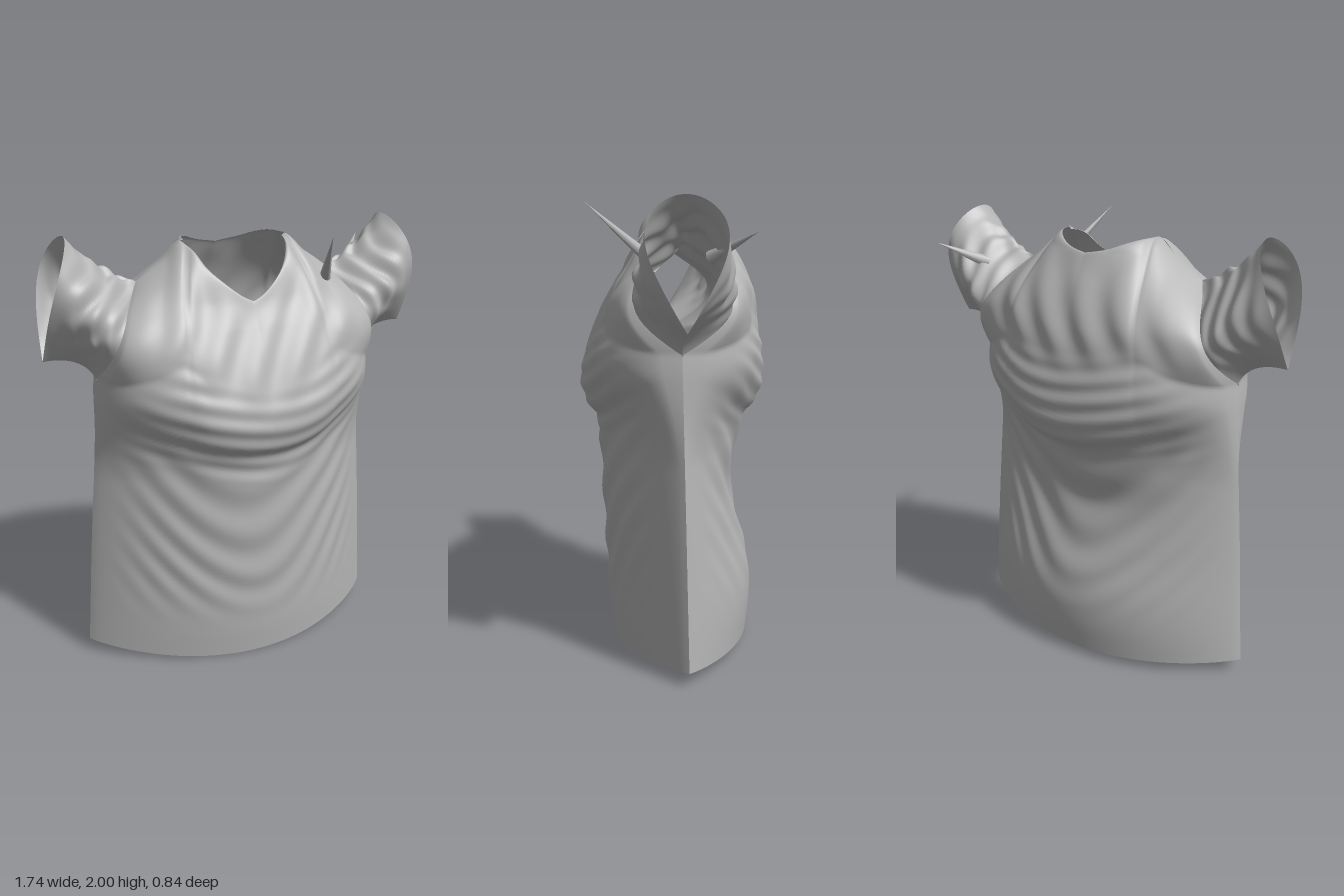
import * as THREE from 'three';

const ARMPIT = 0.76; // share of the panel height where the armhole begins
const clamp = (t) => Math.min(1, Math.max(0, t));
const smooth = (a, b, t) => { const k = clamp((t - a) / (b - a)); return k * k * (3 - 2 * k); };

// Smooth curve through a few [position, value] points
function curve(points) {
  const slope = (i) => {
    const a = points[Math.max(0, i - 1)], b = points[Math.min(points.length - 1, i + 1)];
    return (b[1] - a[1]) / (b[0] - a[0]);
  };
  return (t) => {
    if (t <= points[0][0]) return points[0][1];
    if (t >= points[points.length - 1][0]) return points[points.length - 1][1];
    const i = points.findIndex((p) => p[0] > t) - 1;
    const [x0, y0] = points[i], [x1, y1] = points[i + 1];
    const h = x1 - x0, s = (t - x0) / h, s2 = s * s, s3 = s2 * s;
    return (2 * s3 - 3 * s2 + 1) * y0 + (s3 - 2 * s2 + s) * h * slope(i)
      + (3 * s2 - 2 * s3) * y1 + (s3 - s2) * h * slope(i + 1);
  };
}

// Half width of the body along its side edge
const halfWidth = curve([[0, 0.74], [0.3, 0.705], [0.55, 0.67], [0.76, 0.645], [0.86, 0.6], [0.94, 0.53], [1, 0.45]]);

// Depth down the middle, upper edge and hem of each panel
const shoulder = [[0.25, 1.945], [0.32, 1.88], [0.4, 1.825], [0.45, 1.79]];
const front = {
  sign: 1, armDepth: 0.24, neckDepth: 0.22, hemDrop: 0.06,
  depth: curve([[0, 0.275], [0.15, 0.29], [0.5, 0.31], [0.9, 0.33], [1.03, 0.345], [1.1, 0.39],
    [1.2, 0.42], [1.3, 0.41], [1.45, 0.365], [1.6, 0.3], [1.72, 0.235], [1.95, 0.18]]),
  top: curve([[0, 1.71], [0.05, 1.735], [0.12, 1.79], [0.18, 1.85], [0.22, 1.92], ...shoulder]),
};
const back = {
  sign: -1, armDepth: 0.27, neckDepth: 0.21, hemDrop: 0.025,
  depth: curve([[0, 0.355], [0.2, 0.375], [0.35, 0.365], [0.55, 0.315], [0.75, 0.275], [0.9, 0.3], [1.03, 0.335],
    [1.1, 0.385], [1.17, 0.415], [1.3, 0.42], [1.45, 0.4], [1.6, 0.385], [1.75, 0.34], [1.9, 0.26]]),
  top: curve([[0, 1.89], [0.1, 1.91], [0.18, 1.94], [0.22, 1.95], ...shoulder]),
};

// Point on a body panel: u runs right to left, v from hem to shoulder
function panelPoint(p, u, v) {
  const a = Math.abs(u), x = u * halfWidth(v);
  const hem = 0.06 - p.hemDrop * (1 - a * a);
  const y = hem + (p.top(a * 0.45) - hem) * v;
  const middle = -0.045 + 0.035 * v;

  // Flat-sided leaf section at the hem, fuller at the chest roll that curves up to the armpits
  const e = clamp((v - ARMPIT) / (1 - ARMPIT));
  const edge = middle + p.sign * p.armDepth * Math.pow(Math.sin(Math.PI * Math.pow(e, 1.2)), 0.8);
  const full = smooth(0.48, 0.72, v);
  const shape = Math.pow(Math.max(0, 1 - Math.pow(a, 2 + 0.4 * full)), 0.88 - 0.38 * full);
  const sag = 0.5 * x * x * smooth(0.1, 0.6, v) * (1 - smooth(0.8, 0.95, v));
  let z = edge + (p.sign * p.depth(y - sag) - edge) * shape;

  // Hanging U folds below the chest, fine creases across it, upright folds to the neck
  const inner = smooth(0.05, 0.45, 1 - a);
  const hang = y - 1.3 * x * x - 0.2 * Math.sqrt(x * x + 0.02);
  const hanging = 0.006 * Math.sin(hang * 31 + 1.5 * Math.sin(x * 5 + y * 4)) * smooth(0.08, 0.25, v) * (1 - smooth(0.5, 0.62, v));
  const crease = 0.005 * Math.sin((y - 0.5 * x * x) * 70 + Math.sin(x * 7)) * smooth(0.5, 0.58, v) * (1 - smooth(0.7, 0.8, v));
  const upright = 0.01 * Math.sin(x * 32 + 3 * Math.sin(y * 6) + p.sign) * smooth(0.72, 0.84, v) * (1 - smooth(0.93, 1, v));
  z += p.sign * inner * (hanging + crease + upright);

  // Round over to the shoulder seam and the neck opening
  const neck = Math.sqrt(Math.max(0, 1 - (a * 0.45 / 0.23) ** 2));
  const seam = -0.01 + p.sign * p.neckDepth * neck;
  z = seam + (z - seam) * Math.sqrt(Math.max(0, 1 - Math.pow(v, 8)));
  return new THREE.Vector3(x, y, z);
}

// Point on the left sleeve: t goes round it from the underarm, s from armhole to cuff
function sleevePoint(t, s) {
  const p = t < 0.5 ? front : back;
  const e = (1 - Math.cos(Math.PI * (1 - Math.abs(1 - 2 * t)))) / 2;
  const base = panelPoint(p, 1, ARMPIT + (1 - ARMPIT) * e);

  // Teardrop cuff, round on top and pointed below
  const cuffWidth = Math.sqrt(Math.max(0, Math.sin(Math.PI * Math.pow(e, 1.9))));
  const cuff = new THREE.Vector3(
    0.87 - 0.02 * e - 0.1 * e ** 3, 1.48 + 0.52 * e, -0.025 + p.sign * 0.16 * cuffWidth);
  const bend = base.clone().add(cuff).multiplyScalar(0.5);
  bend.x += -0.06 + 0.08 * e;
  bend.y += 0.065 - 0.115 * e;
  bend.z += p.sign * 0.04 * Math.sin(Math.PI * e);
  const point = base.multiplyScalar((1 - s) ** 2)
    .addScaledVector(bend, 2 * s * (1 - s)).addScaledVector(cuff, s * s);

  // Crumpled cloth, calm at the cuff and underarm
  const mask = Math.sin(Math.PI * Math.pow(s, 0.7)) * smooth(0, 0.35, e);
  const angle = 2 * Math.PI * t;
  const crumple = Math.sin(s * 21 + 2.5 * Math.sin(angle * 3)) + 0.7 * Math.sin(angle * 9 + s * 11);
  point.z += p.sign * 0.009 * mask * crumple * Math.sin(Math.PI * e);
  point.y += 0.009 * mask * crumple * e;
  return point;
}

// Sheet of cloth from a point rule, with an optional flip of its facing
function sheet(rule, columns, rows, flip) {
  const positions = [], index = [];
  for (let j = 0; j <= rows; j++) {
    for (let i = 0; i <= columns; i++) positions.push(...rule(i / columns, j / rows).toArray());
  }
  for (let j = 0; j < rows; j++) {
    for (let i = 0; i < columns; i++) {
      const a = j * (columns + 1) + i, b = a + 1, c = a + columns + 1, d = c + 1;
      if (flip) index.push(a, d, b, a, c, d);
      else index.push(a, b, d, a, d, c);
    }
  }
  const geometry = new THREE.BufferGeometry();
  geometry.setAttribute('position', new THREE.Float32BufferAttribute(positions, 3));
  geometry.setIndex(index);
  geometry.computeVertexNormals();
  return geometry;
}

export function createModel() {
  const group = new THREE.Group();
  group.name = 'shirt';
  const cloth = new THREE.MeshStandardMaterial({ color: 0xb4b4b4, side: THREE.DoubleSide });
  cloth.name = 'grey cloth';
  const add = (name, geometry) => {
    const mesh = new THREE.Mesh(geometry, cloth);
    mesh.name = name;
    group.add(mesh);
    return mesh;
  };

  // Front and back of the body, with rows packed towards the shoulders
  for (const [name, p] of [['frontPanel', front], ['backPanel', back]]) {
    add(name, sheet((i, j) => panelPoint(p, 2 * i - 1, 1 - Math.pow(1 - j, 1.6)), 120, 130, p.sign < 0));
  }

  // Sleeves
  for (const side of [1, -1]) {
    const rule = (t, s) => { const q = sleevePoint(t, s); q.x *= side; return q; };
    add(side > 0 ? 'leftSleeve' : 'rightSleeve', sheet(rule, 96, 40, side > 0));
  }

  // Sharp pulled tips of cloth on the left shoulder
  const tips = [
    ['shoulderTip', [0.41, 1.72, 0.07], [0.28, 1.99, 0.38], 0.03],
    ['sleeveTip', [0.63, 1.76, -0.13], [0.78, 1.86, -0.3], 0.03],
  ];
  for (const [name, from, to, radius] of tips) {
    const a = new THREE.Vector3(...from), b = new THREE.Vector3(...to);
    const tip = add(name, new THREE.ConeGeometry(radius, a.distanceTo(b), 8, 1, true));
    tip.position.copy(a).add(b).multiplyScalar(0.5);
    tip.quaternion.setFromUnitVectors(new THREE.Vector3(0, 1, 0), b.sub(a).normalize());
  }
  return group;
}
